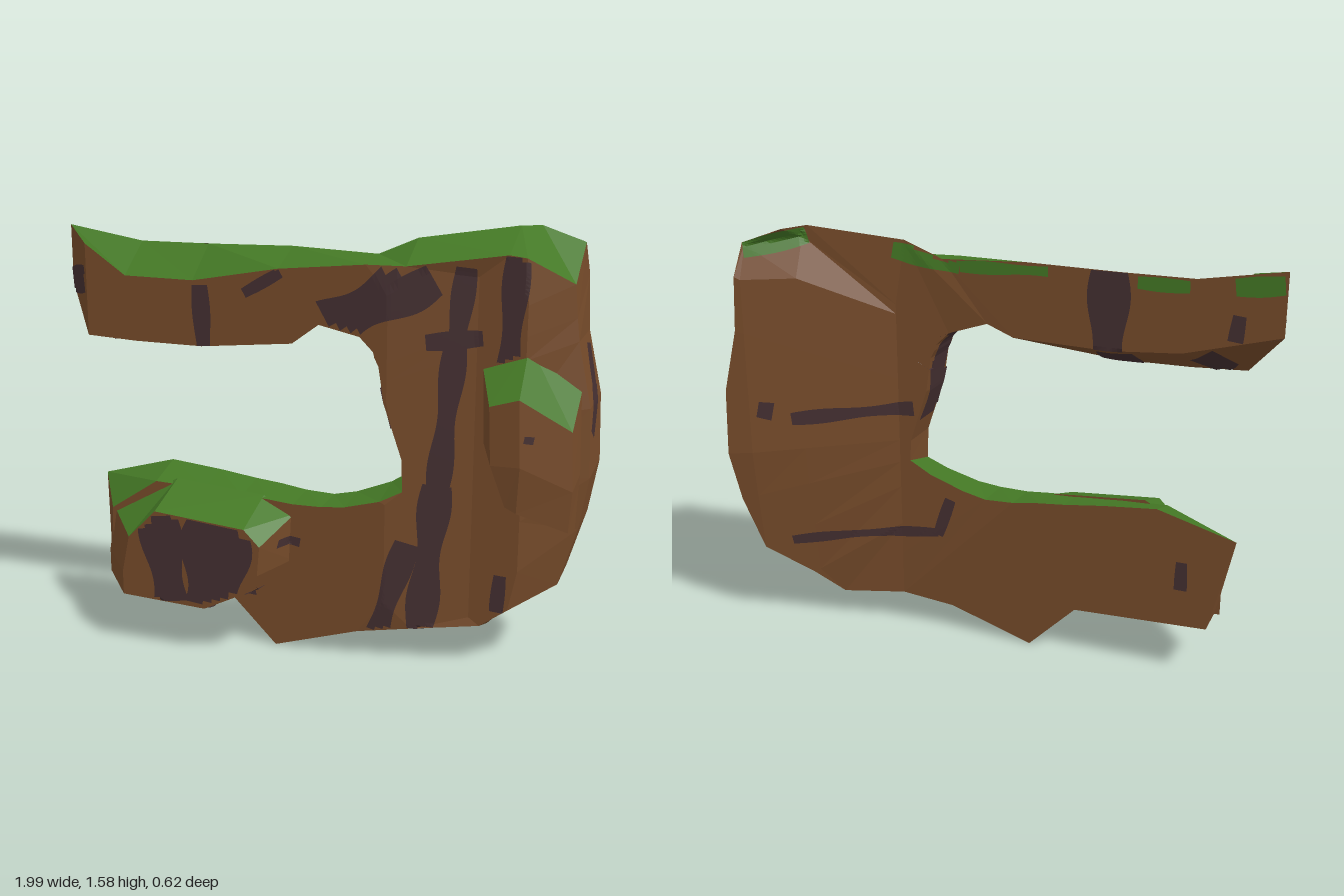
import * as THREE from 'three';

function makeMaterial(name, color) {
  const material = new THREE.MeshStandardMaterial({ color, side: THREE.DoubleSide });
  material.name = name;
  return material;
}
const rockMat = makeMaterial('brown rock', 0x764b2a);
const grassMat = makeMaterial('green grass', 0x447825);
const stainMat = makeMaterial('dark stain', 0x442f31);

// piecewise linear lookup
function lookup(table, x) {
  if (x <= table[0][0]) return table[0][1];
  for (let i = 1; i < table.length; i++) {
    const [x0, a] = table[i - 1], [x1, b] = table[i];
    if (x <= x1) return a + (b - a) * (x - x0) / (x1 - x0);
  }
  return table[table.length - 1][1];
}

// depth of the cliff: straight arms, column folding backwards along upright lines
const frontFolds = [0.77, 0.6, 0.3], backFolds = [0.9, 0.72, 0.4];
const frontZ = x => lookup([[0.3, 0.12], [0.6, 0.05], [0.77, 0.05], [0.92, -0.05]], x);
function backZ(x, y) {
  let z = lookup([[0.2, -0.03], [0.4, -0.05], [0.72, -0.2], [0.91, -0.29], [0.98, -0.31]], x);
  if (x > 0.6) z += Math.max(0, 0.7 - y) * 0.12;
  return y > 1.48 ? Math.max(z, x < 0.75 ? -0.14 : -0.24) : z;
}
// how far the front edge lies below the back edge, outside and inside the C
const outerDrop = (x, y) => y > 1.35
  ? lookup([[-1, 0.05], [-0.7, 0.11], [-0.4, 0.115], [0.2, 0.01], [0.36, 0.08], [0.75, 0.08], [0.9, 0.12]], x)
  : y < 0.3 ? lookup([[0.45, 0], [0.62, -0.05], [0.74, -0.03], [0.9, 0]], x) : 0;
const innerDrop = (x, y) => y > 1.1 ? lookup([[-1, 0.17], [-0.66, 0.09], [-0.05, 0.05], [0.1, 0]], x)
  : y < 0.7 ? lookup([[-0.88, 0.09], [-0.6, 0.045], [0.06, 0.005], [0.36, 0.04]], x) : 0;

// flat-shaded geometry with one group per list of triangle corners
function facetGeometry(faces) {
  const geo = new THREE.BufferGeometry();
  const pos = [];
  faces.forEach((list, m) => {
    geo.addGroup(pos.length / 3, list.length, m);
    list.forEach(p => pos.push(...p));
  });
  geo.setAttribute('position', new THREE.Float32BufferAttribute(pos, 3));
  geo.computeVertexNormals();
  return geo;
}

// closed rings joined by quads and capped; isGrass(k, j) picks the face colour
function loft(name, rings, isGrass, capGrass = false) {
  const faces = [[], []];
  const n = rings[0].length;
  for (let k = 0; k < rings.length - 1; k++) {
    for (let j = 0; j < n; j++) {
      const a = rings[k][j], b = rings[k][(j + 1) % n];
      const c = rings[k + 1][(j + 1) % n], d = rings[k + 1][j];
      faces[isGrass(k, j) ? 1 : 0].push(a, b, c, a, c, d);
    }
  }
  const first = rings[0], last = rings[rings.length - 1];
  for (let j = 1; j < n - 1; j++) {
    faces[0].push(first[0], first[j + 1], first[j]);
    faces[capGrass ? 1 : 0].push(last[0], last[j], last[j + 1]);
  }
  const mesh = new THREE.Mesh(facetGeometry(faces), [rockMat, grassMat]);
  mesh.name = name;
  return mesh;
}

// C-shaped cliff: each station joins an outer point (x, y) to an inner point (x, y)
function makeCliff() {
  const stations = [
    [-1, 1.53, -1, 1.31], [-0.7, 1.48, -0.66, 1.22], [-0.43, 1.48, -0.4, 1.2],
    [-0.1, 1.485, -0.05, 1.21], [0.22, 1.47, 0.05, 1.25], [0.36, 1.53, 0.2, 1.2],
    [0.7, 1.575, 0.25, 1.15], [0.76, 1.57, 0.255, 1.13], [0.91, 1.515, 0.27, 1.1],
    [0.92, 1.4, 0.28, 1.04], [0.93, 1.2, 0.29, 0.97], [0.98, 0.97, 0.32, 0.88],
    [0.99, 0.72, 0.355, 0.77], [0.96, 0.53, 0.36, 0.69], [0.9, 0.32, 0.28, 0.64],
    [0.74, 0.2, 0.15, 0.59], [0.64, 0.11, 0.06, 0.57], [0.4, 0.13, -0.05, 0.575],
    [0.2, 0.1, -0.15, 0.59], [-0.12, 0, -0.25, 0.6], [-0.3, 0.18, -0.4, 0.62],
    [-0.55, 0.19, -0.6, 0.64], [-0.8, 0.2, -0.89, 0.56],
  ];
  const rings = stations.map(([ox, oy, ix, iy], k) => {
    // the strip between both points is cut where it crosses a fold
    const cuts = folds => [0, ...folds.map(x => ox > ix ? (ox - THREE.MathUtils.clamp(x, ix, ox)) / (ox - ix) : 0), 1];
    const point = t => [ox + (ix - ox) * t, oy + (iy - oy) * t];
    // slanted tips of both arms
    const shift = t => k === 0 ? 0.14 : k === stations.length - 1 ? 0.1 * t : 0;
    const front = cuts(frontFolds).map(t => {
      const [x, y] = point(t);
      return [x + shift(t), y - outerDrop(ox, oy) * (1 - t) - innerDrop(ix, iy) * t, frontZ(x)];
    });
    const back = cuts(backFolds).map(t => {
      const [x, y] = point(t);
      return [x, y, backZ(x, y)];
    });
    return [...front, ...back.reverse()];
  });
  return loft('cliffBody', rings, (k, j) => (j === 9 && k < 8) || (j === 4 && k >= 13));
}

// boulder on the lower arm: front outline, spreading towards the cliff
function makeLowerBoulder() {
  const outline = [[-0.66, 0.2], [-0.33, 0.185], [-0.14, 0.28], [-0.12, 0.34], [-0.11, 0.45],
    [-0.17, 0.51], [-0.52, 0.54], [-0.63, 0.43], [-0.66, 0.29]];
  const front = outline.map(([x, y]) => [x, y, 0.3]);
  const back = outline.map(([x, y]) => [
    x < -0.6 ? x - 0.16 : x > -0.16 ? x + 0.06 : x, y > 0.4 ? y + (x < -0.6 ? 0.03 : 0.07) : y, 0.1]);
  return loft('lowerBoulder', [back, front], (k, j) => j >= 4 && j <= 6);
}

// grass-topped outcrop on the column: corners are x, z, top y, bottom y
function makeOutcrop() {
  const corners = [[0.77, 0, 1.19, 0.63], [0.62, 0.04, 1.11, 0.65], [0.68, 0.2, 1.01, 0.66],
    [0.78, 0.2, 1.04, 0.64], [0.945, 0.1, 0.92, 0.56], [0.95, -0.07, 1.05, 0.52]];
  const rings = [
    corners.map(([x, z, , low]) => [Math.max(x, 0.74), low, z * 0.9]),
    corners.map(([x, z, top, low]) => [x + 0.01, low + (top - low) * 0.42, z]),
    corners.map(([x, z, top]) => [x, top, z]),
  ];
  return loft('columnOutcrop', rings, () => false, true);
}

// start and direction of the ray for each painting side
const sides = {
  front: (u, v) => [[u, v, 3], [0, 0, -1]],
  back: (u, v) => [[u, v, -3], [0, 0, 1]],
  right: (u, v) => [[3, v, u], [-1, 0, 0]],
  leftEnd: (u, v) => [[-3, v, u], [1, 0, 0]],
  inner: (u, v) => [[0, v, u], [1, 0, 0]],
  under: (u, v) => [[u, 0.9, v], [0, 1, 0]],
  below: (u, v) => [[u, -3, v], [0, 1, 0]],
};

// thin uneven band draped on bare rock, from (u0, v0) to (u1, v1)
function drape(name, side, [u0, v0, u1, v1, halfWidth], rocks, material) {
  const du = u1 - u0, dv = v1 - v0, length = Math.hypot(du, dv);
  const n = Math.max(6, Math.ceil(length / 0.015)), across = 6;
  const ray = new THREE.Raycaster();
  const rows = [];
  for (let i = 0; i <= n; i++) {
    const t = i / n, width = halfWidth * (1 + 0.2 * Math.sin(t * length * 18));
    const row = [];
    for (let j = 0; j <= across; j++) {
      const s = (j / across * 2 - 1) * width / length;
      const [start, way] = sides[side](u0 + du * t - dv * s, v0 + dv * t + du * s);
      const dir = new THREE.Vector3(...way);
      ray.set(new THREE.Vector3(...start), dir);
      const hit = ray.intersectObjects(rocks, false)[0];
      const onRock = hit && hit.face.materialIndex === 0;
      row.push(onRock && { p: hit.point.addScaledVector(dir, -0.005).toArray(), d: hit.distance });
    }
    rows.push(row);
  }
  const tris = [];
  for (let i = 0; i < n; i++) for (let j = 0; j < across; j++) {
    const quad = [rows[i][j], rows[i][j + 1], rows[i + 1][j + 1], rows[i + 1][j]];
    if (!quad.every(Boolean)) continue;
    const depths = quad.map(c => c.d);
    if (Math.max(...depths) - Math.min(...depths) > 0.06) continue;
    const [a, b, c, d] = quad.map(h => h.p);
    tris.push(a, b, c, a, c, d);
  }
  const mesh = new THREE.Mesh(facetGeometry([tris]), [material]);
  mesh.name = name;
  return mesh;
}

export function createModel() {
  const model = new THREE.Group();
  model.name = 'curvedCliff';
  const rocks = [makeCliff(), makeLowerBoulder(), makeOutcrop()];
  model.add(...rocks);

  // dark stains
  const stains = {
    front: [
      [0.56, 1.45, 0.53, 1.18, 0.034], [0.53, 1.18, 0.48, 0.65, 0.038], [0.48, 0.68, 0.43, 0.13, 0.05],
      [0.43, 1.19, 0.62, 1.21, 0.028], [0.73, 1.49, 0.71, 1.1, 0.04], [0.44, 1.43, 0.09, 1.23, 0.085],
      [-0.4, 1.35, -0.39, 1.13, 0.03], [-0.23, 1.33, -0.09, 1.41, 0.018], [0.38, 0.46, 0.28, 0.11, 0.042],
      [0.71, 0.36, 0.7, 0.22, 0.022], [-0.51, 0.54, -0.46, 0.2, 0.075], [-0.27, 0.515, -0.3, 0.2, 0.12],
      [-0.08, 0.43, -0.02, 0.42, 0.015], [0.8, 0.905, 0.83, 0.9, 0.012],
    ],
    leftEnd: [[-0.03, 1.32, 0.12, 1.35, 0.045]],
    right: [[-0.2, 1.17, -0.17, 1, 0.035], [-0.19, 1.04, -0.08, 0.87, 0.04], [-0.01, 0.21, -0.1, 0.215, 0.018]],
    back: [
      [-0.4, 1.48, -0.4, 1.2, 0.065], [-0.85, 1.37, -0.84, 1.28, 0.022], [0.87, 0.9, 0.82, 0.89, 0.03],
      [0.76, 0.86, 0.34, 0.9, 0.024], [0.8, 0.35, 0.25, 0.41, 0.018], [0.25, 0.4, 0.2, 0.55, 0.02],
      [-0.7, 0.45, -0.7, 0.34, 0.02],
    ],
    inner: [[0.045, 1.2, 0.045, 0.85, 0.075]],
    under: [[-0.42, -0.02, -0.42, 0.11, 0.065], [-0.8, 0.02, -0.72, 0.08, 0.06]],
    below: [[-0.32, 0.21, -0.13, 0.21, 0.08]],
  };
  for (const [side, bands] of Object.entries(stains)) {
    bands.forEach(band => model.add(drape('stain', side, band, rocks, stainMat)));
  }

  // grass hanging over the back edge
  const fringes = [[0.4, 1.5, 0.15, 1.45, 0.035], [0.15, 1.45, -0.18, 1.46, 0.02],
    [-0.5, 1.455, -0.68, 1.455, 0.025], [-0.83, 1.47, -0.99, 1.49, 0.035], [0.7, 1.54, 0.9, 1.49, 0.03]];
  fringes.forEach(band => model.add(drape('grassFringe', 'back', band, rocks, grassMat)));

  return model;
}
